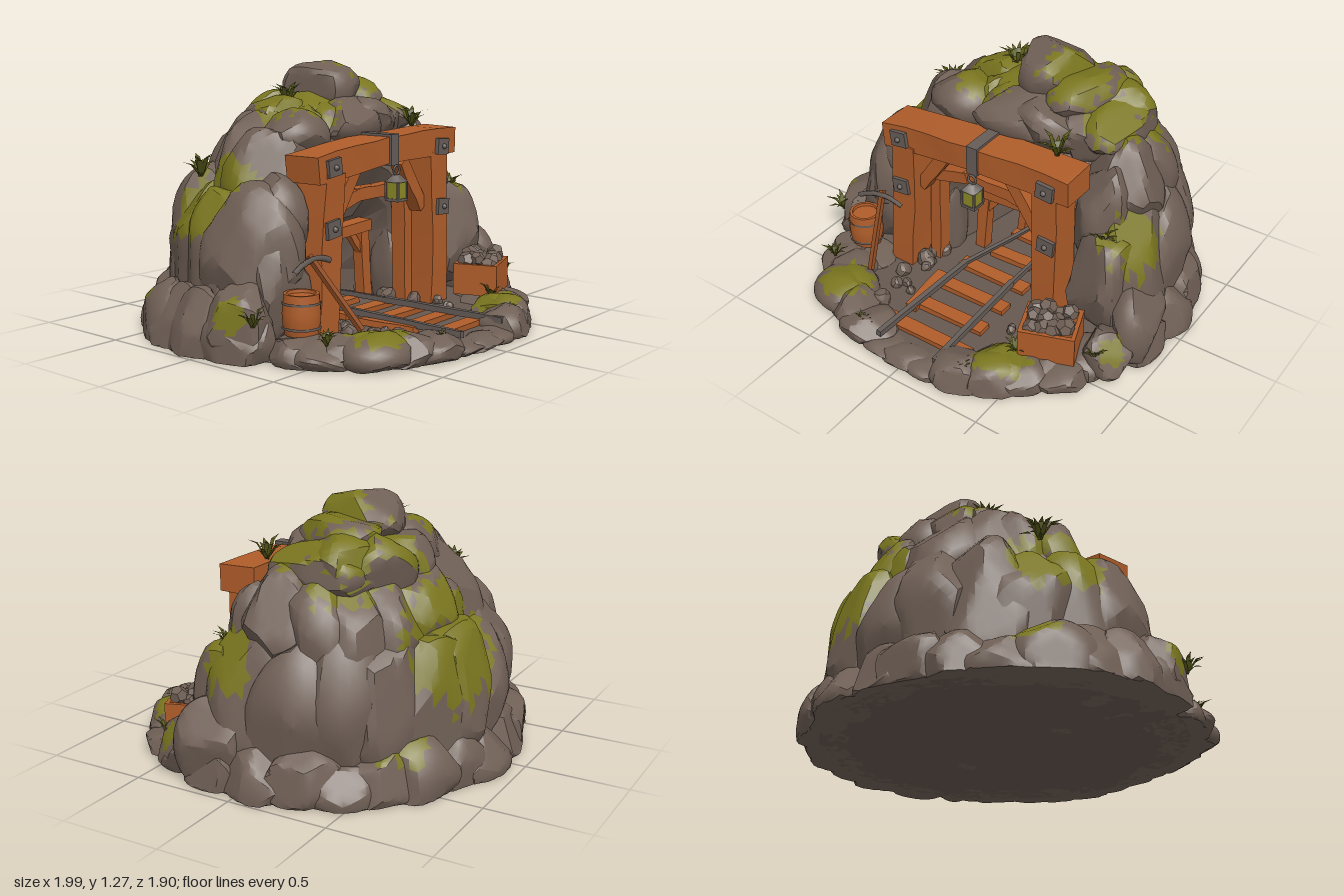
import * as THREE from 'three';
import { mergeGeometries, toCreasedNormals } from 'three/addons/utils/BufferGeometryUtils.js';

const V = (x, y, z) => new THREE.Vector3(x, y, z);
const mat = (name, color, side = THREE.FrontSide) => {
  const m = new THREE.MeshStandardMaterial({ color, side });
  m.name = name;
  return m;
};

export function createModel() {
  const rock = mat('rock', 0x706056, THREE.DoubleSide), ground = mat('ground', 0x665850);
  const moss = mat('moss', 0x7a761f), grass = mat('grass', 0x5a5c1b, THREE.DoubleSide);
  const wood = mat('wood', 0xb05d2a), darkWood = mat('darkWood', 0x8e4b22);
  const metal = mat('metal', 0x665d58), glow = mat('lanternGlass', 0x8c8a26);

  let seed = 11;
  const rnd = (a = 0, b = 1) => {
    seed = (seed * 16807) % 2147483647;
    return a + (b - a) * (seed / 2147483647);
  };
  const model = new THREE.Group();
  model.name = 'mineEntrance';
  const add = (name, geo, material, x = 0, y = 0, z = 0, parent = model) => {
    const m = new THREE.Mesh(geo, material);
    m.name = name;
    m.position.set(x, y, z);
    parent.add(m);
    return m;
  };

  // Boulder: a sphere cut by random planes, with its base kept above the ground
  const rocks = [];
  const boulder = (x, y, z, sx, sy, sz, turn = 0, lean = 0, detail = 5) => {
    const geo = new THREE.IcosahedronGeometry(1, detail), p = geo.attributes.position, v = V(0, 0, 0);
    const planes = Array.from({ length: 15 }, () => {
      const h = rnd(-1, 1), a = rnd(0, Math.PI * 2), s = Math.sqrt(1 - h * h);
      return { n: V(s * Math.cos(a), h, s * Math.sin(a)), d: rnd(0.7, 0.92) };
    });
    const m = new THREE.Matrix4().compose(V(x, y, z),
      new THREE.Quaternion().setFromEuler(new THREE.Euler(lean, turn, 0, 'YXZ')), V(sx, sy, sz).multiplyScalar(1.1));
    for (let i = 0; i < p.count; i++) {
      v.fromBufferAttribute(p, i).normalize();
      let r = 1;
      for (const { n, d } of planes) {
        const c = v.dot(n);
        if (c > 0) r = Math.min(r, d / c);
      }
      v.multiplyScalar(r).applyMatrix4(m);
      p.setXYZ(i, v.x, Math.max(0, v.y), v.z);
    }
    geo.deleteAttribute('uv');
    rocks.push(toCreasedNormals(geo, 0.42));
  };

  // Rows of boulders climbing the hill; angle 0 is the front
  const row = (n, gap, y, cx, cz, rx, rz, size, lean) => {
    for (let i = 0; i < n; i++) {
      const a = gap + (i + 0.5 + rnd(-0.15, 0.15)) / n * (Math.PI * 2 - 2 * gap), k = rnd(0.9, 1.1);
      boulder(cx + rx * Math.sin(a), y + rnd(-0.04, 0.04), cz + rz * Math.cos(a),
        size[0] * k, size[1] * rnd(0.85, 1.15), size[2] * k, a, lean);
    }
  };
  row(16, 1.3, 0.06, 0, 0, 0.87, 0.82, [0.18, 0.17, 0.115], -0.25);
  row(12, 1.3, 0.38, 0.035, -0.04, 0.69, 0.645, [0.22, 0.37, 0.17], -0.18);
  row(10, 1.35, 0.72, 0.11, -0.08, 0.52, 0.44, [0.2, 0.28, 0.17], -0.38);
  row(9, 0, 0.93, 0.13, -0.2, 0.32, 0.18, [0.19, 0.16, 0.17], -0.45);

  // Summit, shoulder and brow boulders
  [[0.12, 1.125, -0.2, 0.17, 0.16, 0.19], [0.3, 1.06, -0.2, 0.17, 0.12, 0.22], [0, 1.0, -0.17, 0.2, 0.12, 0.2],
    [-0.28, 0.92, -0.04, 0.17, 0.13, 0.17], [0.5, 0.95, -0.17, 0.16, 0.13, 0.22], [0.1, 0.97, 0.01, 0.25, 0.12, 0.14],
    [-0.62, 0.27, 0.13, 0.16, 0.27, 0.18], [-0.83, 0.15, 0.14, 0.14, 0.19, 0.17], [-0.55, 0.55, 0.08, 0.14, 0.22, 0.17],
    [0.66, 0.34, 0.17, 0.17, 0.31, 0.19], [0.84, 0.17, 0.18, 0.13, 0.22, 0.18], [0.59, 0.62, 0.08, 0.15, 0.27, 0.15],
    [0.8, 0.1, 0.38, 0.12, 0.14, 0.13],
    [-0.33, 0.2, 0.06, 0.06, 0.26, 0.1], [0.36, 0.2, 0.06, 0.06, 0.26, 0.1]]
    .forEach(b => boulder(...b, rnd(-0.3, 0.3)));

  // Low boulders edging the front yard, lowest across the track
  for (let i = 0; i < 13; i++) {
    const a = -1.08 + i * 0.18, low = Math.abs(a) < 0.32;
    boulder(0.8 * Math.sin(a), low ? 0.02 : 0.04, 0.86 * Math.cos(a), 0.15, low ? 0.04 : rnd(0.08, 0.1), low ? 0.09 : 0.13, a);
  }
  [[-0.53, 0.05, 0.66, 0.17, 0.09, 0.16], [-0.68, 0.03, 0.5, 0.14, 0.09, 0.13], [0.42, 0.05, 0.68, 0.15, 0.09, 0.13],
    [0.62, 0.04, 0.54, 0.17, 0.07, 0.17], [-0.64, 0.04, 0.36, 0.16, 0.07, 0.13]].forEach(b => boulder(...b, rnd(-0.5, 0.5)));
  // Rubble beside the track
  for (let i = 0; i < 30; i++) {
    const s = i % 2 ? 1 : -1, r = rnd(0.02, 0.055);
    boulder(s * rnd(0.27, 0.42) + 0.01, 0.06, rnd(-0.1, 0.72), r, r * 1.2, r, rnd(0, 6), 0, 1);
  }

  // Split boulder faces into bare rock and mossy patches [x, y, z, radius, least upward slope]
  const patches = [[0.22, 0.64, -0.7, 0.29, -0.15], [0.6, 0.27, -0.64, 0.14, 0.3], [0.28, 1.17, -0.13, 0.16, 0.35],
    [0.52, 1.03, -0.08, 0.14, 0.2], [0.55, 1.0, -0.32, 0.19, 0.15], [-0.16, 1.05, -0.12, 0.2, 0.4], [-0.1, 1.02, -0.3, 0.14, 0.1],
    [-0.66, 0.66, -0.28, 0.23, -0.1], [-0.6, 0.7, -0.1, 0.12, 0.2], [0.73, 0.55, 0.12, 0.16, 0.05],
    [-0.53, 0.14, 0.68, 0.13, 0.2], [0.42, 0.14, 0.68, 0.14, 0.2], [0.83, 0.15, 0.4, 0.08, 0], [-0.92, 0.2, 0.18, 0.08, 0],
    [0.3, 1.02, -0.44, 0.16, 0.1], [-0.75, 0.22, -0.52, 0.1, 0.3]];
  const all = mergeGeometries(rocks), pos = all.attributes.position, nor = all.attributes.normal;
  const sets = [[], []], c = V(0, 0, 0), q = V(0, 0, 0);
  for (let i = 0; i < pos.count; i += 3) {
    c.set(0, 0, 0);
    for (let k = 0; k < 3; k++) c.add(q.fromBufferAttribute(pos, i + k));
    c.divideScalar(3);
    const ragged = 1 + 0.22 * Math.sin(61 * c.x + 17 * c.z) * Math.sin(57 * c.z - 29 * c.x);
    const mossy = patches.some(([x, y, z, r, up]) => nor.getY(i) > up && c.distanceTo(q.set(x, y, z)) < r * ragged);
    sets[mossy ? 1 : 0].push(i, i + 1, i + 2);
  }
  ['boulders', 'mossPatches'].forEach((name, k) => {
    const g = all.clone();
    g.setIndex(sets[k]);
    add(name, g.toNonIndexed(), [rock, moss][k]);
  });

  // Hill core and tunnel lining: arched sections [z, half width, height, jitter] joined in a strip
  const loft = (name, sections) => {
    const N = 16, pts = [], idx = [];
    sections.forEach(([z, w, h, j]) => {
      for (let i = 0; i <= N; i++) {
        const a = Math.PI * i / N, co = Math.cos(a), s = Math.max(0, Math.sin(a));
        pts.push(0.02 + Math.sign(co) * w * Math.abs(co) ** 0.7 + rnd(-j, j), i % N ? h * s ** 0.7 + rnd(-j, j) : 0, z + rnd(-j, j));
      }
    });
    for (let r = 0; r < sections.length - 1; r++) for (let i = 0; i < N; i++) {
      const a = r * (N + 1) + i, b = a + N + 1;
      idx.push(a, a + 1, b, a + 1, b + 1, b);
    }
    const g = new THREE.BufferGeometry();
    g.setAttribute('position', new THREE.Float32BufferAttribute(pts, 3));
    g.setIndex(idx);
    add(name, toCreasedNormals(g, 0.3), rock);
  };
  loft('hillCore', [[-0.84, 0.05, 0.1, 0], [-0.72, 0.38, 0.5, 0], [-0.48, 0.6, 0.82, 0], [-0.2, 0.7, 0.99, 0],
    [0.08, 0.68, 0.87, 0], [0.14, 0.55, 0.86, 0.01], [0.16, 0.38, 0.77, 0]]);
  loft('tunnelLining', [[0.16, 0.38, 0.77, 0], [0.08, 0.35, 0.66, 0.02], [-0.08, 0.32, 0.56, 0.02], [-0.25, 0.27, 0.48, 0.02],
    [-0.48, 0.22, 0.42, 0.015], [-0.5, 0.01, 0.02, 0]]);

  // Yard floor
  add('yardFloor', new THREE.CylinderGeometry(0.84, 0.87, 0.05, 28), ground, 0, 0.025, 0);

  // Rough timber running from a to b
  const beam = (name, a, b, w, d, material = wood) => {
    const A = V(...a), B = V(...b), g = new THREE.BoxGeometry(w, A.distanceTo(B), d, 1, 4, 1), p = g.attributes.position;
    for (let i = 0; i < p.count; i++) {
      const k = Math.sin(p.getX(i) * 91 + p.getY(i) * 57 + p.getZ(i) * 73 + a[0] * 9) * 0.06;
      p.setXYZ(i, p.getX(i) * (1 + k), p.getY(i), p.getZ(i) * (1 - k));
    }
    const m = add(name, toCreasedNormals(g, 0.3), material);
    m.position.copy(A).add(B).multiplyScalar(0.5);
    m.quaternion.setFromUnitVectors(V(0, 1, 0), B.sub(A).normalize());
    return m;
  };

  // Entrance frame
  beam('lintelRight', [-0.52, 0.81, 0.24], [0.03, 0.865, 0.24], 0.13, 0.19);
  beam('lintelLeft', [0, 0.86, 0.24], [0.54, 0.87, 0.24], 0.13, 0.19);
  beam('leftPost', [0.42, 0.04, 0.25], [0.41, 0.82, 0.25], 0.13, 0.17);
  beam('rightPost', [-0.45, 0.04, 0.25], [-0.4, 0.79, 0.25], 0.135, 0.17);
  beam('crossBarRight', [-0.36, 0.58, 0.2], [-0.1, 0.65, 0.2], 0.06, 0.07);
  beam('crossBarMiddle', [-0.12, 0.65, 0.2], [0.16, 0.65, 0.2], 0.06, 0.07);
  beam('crossBarLeft', [0.14, 0.65, 0.2], [0.36, 0.6, 0.2], 0.06, 0.07);
  for (const s of [-1, 1]) {
    beam('brace', [s * 0.35, 0.54, 0.25], [s * 0.18, 0.79, 0.25], 0.065, 0.07);
    beam('innerPost', [s * 0.33, 0.05, 0.17], [s * 0.31, 0.6, 0.17], 0.06, 0.08);
  }

  // Smaller frames deep in the tunnel
  [[-0.02, 0.03, 0.19, 0.42, 0.06], [-0.22, 0.07, 0.115, 0.33, 0.045], [-0.4, 0.1, 0.08, 0.26, 0.035]].forEach(([z, x, w, h, t]) => {
    beam('tunnelLintel', [x - w - t * 0.6, h - 0.01, z], [x + w + t * 0.6, h + 0.015, z], t, t * 1.4);
    for (const s of [-1, 1]) {
      beam('tunnelPost', [x + s * (w + 0.03), 0.04, z], [x + s * w, h, z], t, t);
      beam('tunnelBrace', [x + s * w, h * 0.7, z], [x + s * w * 0.45, h, z], t * 0.6, t * 0.6);
    }
  });

  // Iron plates with bolts, and the strap round the lintel
  [[-0.42, 0.82, 0.342], [0.42, 0.845, 0.342], [-0.425, 0.54, 0.34], [0.43, 0.54, 0.34]].forEach(([x, y, z], i) => {
    add('ironPlate', new THREE.BoxGeometry(0.09, 0.08, 0.02), metal, x, y, z).rotation.z = i % 2 ? -0.08 : 0.12;
    add('bolt', new THREE.SphereGeometry(0.014, 8, 6), metal, x, y, z + 0.013);
  });
  add('ironStrap', new THREE.BoxGeometry(0.06, 0.15, 0.22), metal, 0.02, 0.862, 0.24);

  // Hanging lantern
  add('lanternHook', new THREE.TorusGeometry(0.022, 0.006, 6, 12), metal, 0.025, 0.765, 0.355);
  add('lanternCap', new THREE.CylinderGeometry(0.018, 0.058, 0.035, 4, 1, false, Math.PI / 4), metal, 0.025, 0.727, 0.355);
  add('lanternGlass', new THREE.BoxGeometry(0.068, 0.08, 0.068), glow, 0.025, 0.67, 0.355);
  add('lanternBase', new THREE.BoxGeometry(0.078, 0.014, 0.078), metal, 0.025, 0.625, 0.355);
  for (const x of [-1, 1]) for (const z of [-1, 1])
    add('lanternBar', new THREE.BoxGeometry(0.01, 0.085, 0.01), metal, 0.025 + x * 0.035, 0.67, 0.355 + z * 0.035);

  // Track
  for (const x of [-0.165, 0.17]) {
    beam('rail', [x, 0.09, 0.87], [x * 0.85, 0.09, 0.2], 0.026, 0.03, metal);
    beam('tunnelRail', [x * 0.85, 0.09, 0.2], [0.08 + x * 0.35, 0.08, -0.46], 0.018, 0.025, metal);
  }
  for (let i = 0; i < 8; i++) {
    const z = 0.72 - i * 0.18, w = i === 0 ? 0.24 : z > 0 ? 0.2 : 0.12;
    beam('sleeper', [0.02 - w, 0.062, z + rnd(-0.012, 0.012)], [0.02 + w, 0.062, z], 0.03, 0.075);
  }
  beam('loosePlank', [-0.2, 0.07, 0.32], [-0.17, 0.07, 0.62], 0.06, 0.03);

  // Barrel
  const barrel = new THREE.Group();
  barrel.name = 'barrel';
  barrel.position.set(-0.665, 0.11, 0.36);
  model.add(barrel);
  const profile = [[0, 0], [0.075, 0], [0.087, 0.06], [0.088, 0.1], [0.08, 0.185], [0.066, 0.185], [0.064, 0.17], [0, 0.17]];
  add('barrelBody', toCreasedNormals(new THREE.LatheGeometry(profile.map(p => new THREE.Vector2(...p)), 14), 0.5), wood, 0, 0, 0, barrel);
  for (const y of [0.035, 0.145]) add('barrelHoop', new THREE.CylinderGeometry(0.089, 0.089, 0.012, 14, 1, true), metal, 0, y, 0, barrel);

  // Pickaxe leaning by the barrel
  beam('pickaxeHandle', [-0.48, 0.12, 0.55], [-0.57, 0.44, 0.32], 0.024, 0.024, darkWood);
  const arc = new THREE.QuadraticBezierCurve3(V(-0.7, 0.38, 0.35), V(-0.57, 0.46, 0.34), V(-0.44, 0.4, 0.33));
  add('pickaxeHead', new THREE.TubeGeometry(arc, 8, 0.014, 5), metal);

  // Crate of ore
  const crate = new THREE.Group();
  crate.name = 'crate';
  crate.position.set(0.565, 0.185, 0.49);
  crate.rotation.y = 0.35;
  model.add(crate);
  for (const s of [-1, 1]) {
    add('crateLongSide', new THREE.BoxGeometry(0.27, 0.155, 0.02), wood, 0, 0, s * 0.1, crate);
    add('crateShortSide', new THREE.BoxGeometry(0.02, 0.155, 0.19), wood, s * 0.125, 0, 0, crate);
  }
  add('crateBottom', new THREE.BoxGeometry(0.24, 0.08, 0.19), darkWood, 0, -0.03, 0, crate);
  for (let i = 0; i < 12; i++) {
    const o = add('ore', toCreasedNormals(new THREE.DodecahedronGeometry(rnd(0.032, 0.05)), 0.2), rock,
      -0.08 + (i % 4) * 0.053, 0.06 + rnd(0, 0.05), -0.055 + Math.floor(i / 4) * 0.055, crate);
    o.rotation.set(rnd(0, 3), rnd(0, 3), 0);
  }

  // Grass tufts made of bent blades
  const tuft = (x, y, z, s) => {
    const pts = [];
    for (let i = 0; i < 14; i++) {
      const a = i * 2.4, out = rnd(0.35, 0.95) * s, up = rnd(0.5, 1) * s, w = s * 0.09;
      const at = (r, h, o) => [r * Math.cos(a) - o * Math.sin(a), h, r * Math.sin(a) + o * Math.cos(a)];
      const l = at(0, 0, -w), r = at(0, 0, w), ml = at(out * 0.5, up * 0.75, -w), mr = at(out * 0.5, up * 0.75, w);
      pts.push(...l, ...r, ...mr, ...l, ...mr, ...ml, ...ml, ...mr, ...at(out, up * 0.9, 0));
    }
    const g = new THREE.BufferGeometry();
    g.setAttribute('position', new THREE.Float32BufferAttribute(pts, 3));
    g.computeVertexNormals();
    add('grassTuft', g, grass, x, y, z);
  };
  [[-0.11, 1.06, -0.22, 0.12], [0.38, 0.94, 0.18, 0.12], [-0.6, 0.74, -0.33, 0.13], [-0.89, 0.17, 0.28, 0.11], [0.66, 0.58, 0.22, 0.1],
    [0.8, 0.14, 0.48, 0.09], [0.3, 0.09, 0.83, 0.06], [-0.28, 0.08, 0.84, 0.06], [-0.72, 0.1, 0.55, 0.08], [0.46, 0.11, 0.62, 0.08]]
    .forEach(t => tuft(...t));

  return model;
}
